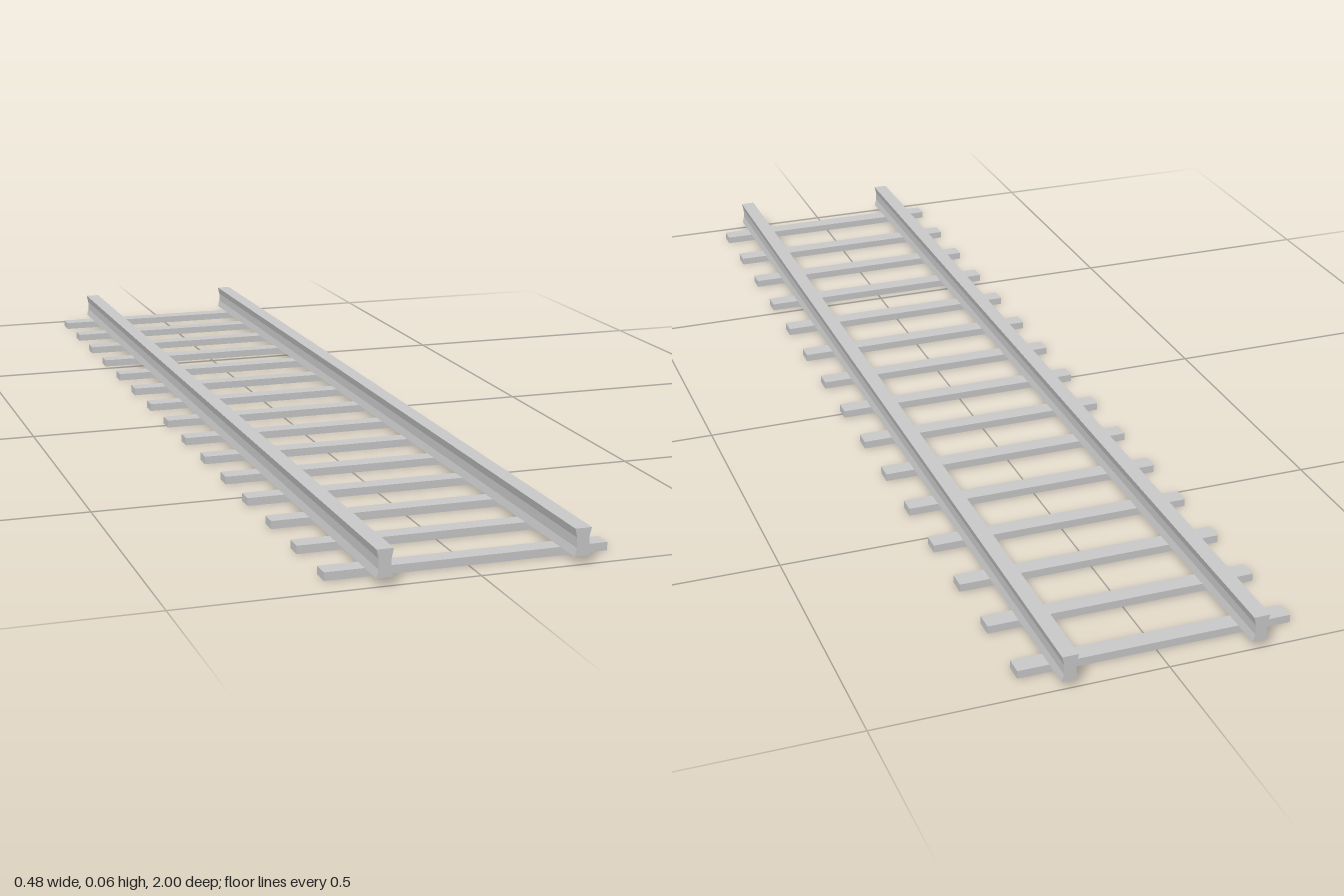
import * as THREE from 'three';

const material = new THREE.MeshStandardMaterial({ color: 0xcccccc, flatShading: true });

const LENGTH = 2;
const TIE = { width: 0.477, height: 0.014, depth: 0.032, count: 15 };

// Waisted rail section, right half from the foot up; the left half is mirrored
function railGeometry() {
  const half = [[0.014, 0.014], [0.0105, 0.028], [0.0105, 0.045], [0.014, 0.06]];
  const mirrored = half.map(([x, y]) => [-x, y]).reverse();
  const shape = new THREE.Shape([...half, ...mirrored].map(([x, y]) => new THREE.Vector2(x, y)));
  const geometry = new THREE.ExtrudeGeometry(shape, { depth: LENGTH, bevelEnabled: false });
  return geometry.translate(0, 0, -LENGTH / 2);
}

export function createModel() {
  const track = new THREE.Group();
  track.name = 'railwayTrack';

  // Two rails, set slightly toward +x on the ties
  const railGeo = railGeometry();
  for (const [name, x] of [['rightRail', -0.1585], ['leftRail', 0.1705]]) {
    const rail = new THREE.Mesh(railGeo, material);
    rail.name = name;
    rail.position.x = x;
    track.add(rail);
  }

  // Evenly spaced cross ties under the rails
  const ties = new THREE.Group();
  ties.name = 'ties';
  const tieGeo = new THREE.BoxGeometry(TIE.width, TIE.height, TIE.depth);
  const spacing = LENGTH / TIE.count;
  for (let i = 0; i < TIE.count; i++) {
    const tie = new THREE.Mesh(tieGeo, material);
    tie.name = `tie${i + 1}`;
    tie.position.set(0, TIE.height / 2, (i - (TIE.count - 1) / 2) * spacing);
    ties.add(tie);
  }
  track.add(ties);

  return track;
}
